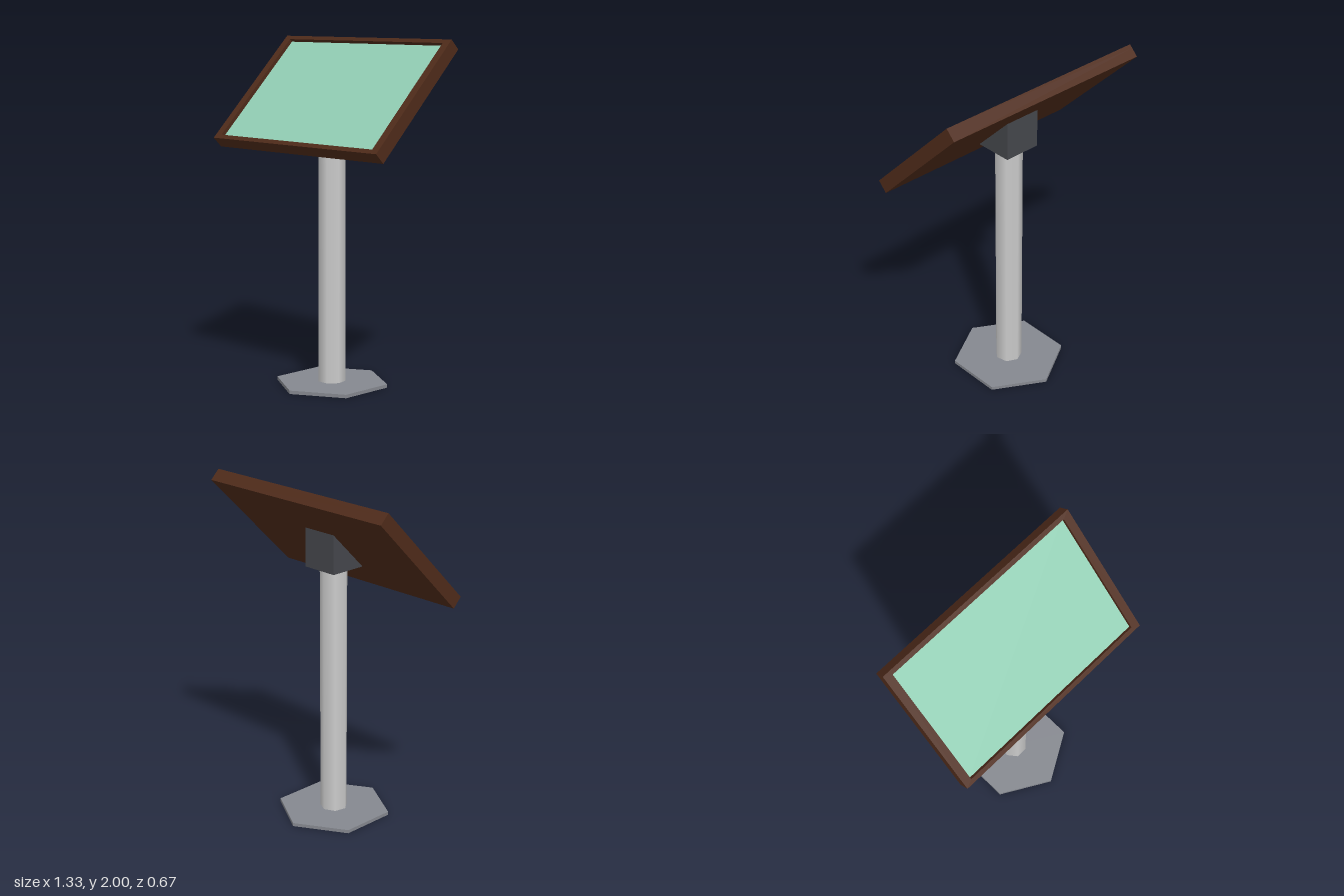
import * as THREE from 'three';

const mat = (color, flatShading = true) => new THREE.MeshStandardMaterial({ color, flatShading });

function part(name, geometry, material, parent) {
  const mesh = new THREE.Mesh(geometry, material);
  mesh.name = name;
  parent.add(mesh);
  return mesh;
}

// Rectangle outline centred on the origin
function rect(target, w, h) {
  return target.moveTo(-w / 2, -h / 2).lineTo(w / 2, -h / 2)
    .lineTo(w / 2, h / 2).lineTo(-w / 2, h / 2).closePath();
}

export function createModel() {
  const group = new THREE.Group();
  group.name = 'informationStand';
  const wood = mat(0x4f2b1a);

  // Hexagonal foot plate, corners pointing front and back
  const plateHeight = 0.02;
  part('basePlate', new THREE.CylinderGeometry(0.333, 0.333, plateHeight, 6), mat(0x85888f), group)
    .position.y = plateHeight / 2;

  // Smooth-shaded seven-sided post, one corner pointing back
  const postTop = 1.51;
  part('post', new THREE.CylinderGeometry(0.08, 0.08, postTop, 7, 1, false, Math.PI),
    mat(0xcccccc, false), group).position.y = postTop / 2;

  // Wedge bracket: triangular side profile (z, y) extruded across x
  const size = 0.224;
  const profile = new THREE.Shape()
    .moveTo(-size / 2, 0).lineTo(size / 2, 0).lineTo(size / 2, size + 0.01)
    .lineTo(-size / 2, 0.01).closePath();
  const wedge = new THREE.ExtrudeGeometry(profile, { depth: size, bevelEnabled: false });
  wedge.translate(0, 0, -size / 2).rotateY(Math.PI / 2);
  part('bracket', wedge, mat(0x45474c), group).position.y = postTop;

  // Sign board leaning back 45 degrees
  const board = new THREE.Group();
  board.name = 'board';
  board.position.y = 1.68;
  board.rotation.x = -Math.PI / 4;
  group.add(board);

  const width = 1.33, height = 0.828, thick = 0.078, recess = 0.024;
  const innerW = width - 0.096, innerH = height - 0.056;

  // Backing slab
  part('boardBack', new THREE.BoxGeometry(width, height, thick - recess), wood, board)
    .position.z = -recess / 2;

  // Raised rim around the panel
  const outline = rect(new THREE.Shape(), width, height);
  outline.holes.push(rect(new THREE.Path(), innerW, innerH));
  part('boardRim', new THREE.ExtrudeGeometry(outline, { depth: recess, bevelEnabled: false }), wood, board)
    .position.z = thick / 2 - recess;

  // Recessed display panel
  part('displayPanel', new THREE.PlaneGeometry(innerW, innerH), mat(0x93cfb5), board)
    .position.z = thick / 2 - recess + 0.002;

  return group;
}
